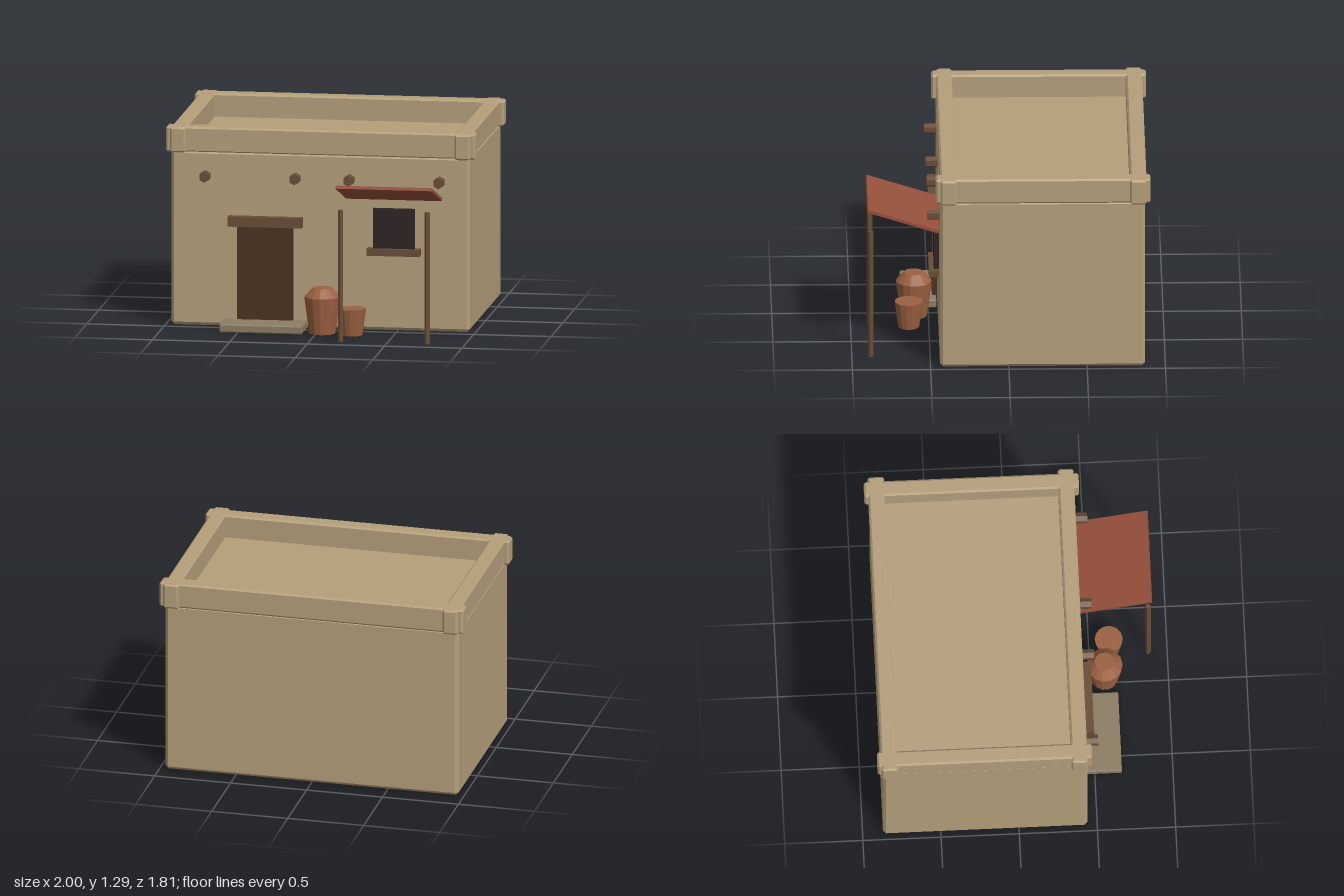
import * as THREE from 'three';
import { ConvexGeometry } from 'three/addons/geometries/ConvexGeometry.js';

const material = (name, color, flatShading = true) => {
  const m = new THREE.MeshStandardMaterial({ color, flatShading });
  m.name = name;
  return m;
};

// Box given by its limits, with flat chamfers along every edge
function chamferBox([x0, x1], [y0, y1], [z0, z1], c) {
  const half = [(x1 - x0) / 2, (y1 - y0) / 2, (z1 - z0) / 2];
  const points = [];
  for (const sx of [-1, 1]) for (const sy of [-1, 1]) for (const sz of [-1, 1]) {
    for (let axis = 0; axis < 3; axis++) {
      const p = half.map((h, i) => (i === axis ? h : h - c));
      points.push(new THREE.Vector3(p[0] * sx, p[1] * sy, p[2] * sz));
    }
  }
  return new ConvexGeometry(points).translate((x0 + x1) / 2, (y0 + y1) / 2, (z0 + z1) / 2);
}

// Plain box given by its limits
function box([x0, x1], [y0, y1], [z0, z1]) {
  return new THREE.BoxGeometry(x1 - x0, y1 - y0, z1 - z0)
    .translate((x0 + x1) / 2, (y0 + y1) / 2, (z0 + z1) / 2);
}

export function createModel() {
  const model = new THREE.Group();
  model.name = 'adobeHouse';

  const adobe = material('adobe', 0xb59f7a);
  const wood = material('wood', 0x694d37);
  const doorWood = material('doorWood', 0x4a3322);
  const darkGlass = material('darkOpening', 0x2d2324);
  const cloth = material('awningCloth', 0x97503b);
  const clay = material('clay', 0x9b6040);
  const stone = material('stone', 0x8c7c64);

  const add = (name, geometry, mat) => {
    const mesh = new THREE.Mesh(geometry, mat);
    mesh.name = name;
    model.add(mesh);
    return mesh;
  };

  // Main block, its top is the sunken roof
  add('walls', chamferBox([-0.965, 0.965], [0, 1.135], [-0.87, 0.44], 0.02), adobe);

  // Parapet: four bars that cross and stick out at the corners
  const top = [1.12, 1.286];
  add('frontParapet', chamferBox([-1, 1], top, [0.335, 0.438], 0.012), adobe);
  add('backParapet', chamferBox([-1, 1], top, [-0.88, -0.775], 0.012), adobe);
  add('rightParapet', chamferBox([-0.97, -0.868], top, [-0.905, 0.468], 0.012), adobe);
  add('leftParapet', chamferBox([0.868, 0.97], top, [-0.905, 0.468], 0.012), adobe);

  // Roof beam ends
  for (const x of [-0.74, -0.158, 0.19, 0.772]) {
    const beam = new THREE.CylinderGeometry(0.035, 0.035, 0.135, 6).rotateX(Math.PI / 2);
    add('roofBeam', beam, wood).position.set(x, 0.974, 0.448);
  }

  // Door, lintel and step
  add('door', box([-0.532, -0.174], [0.01, 0.66], [0.42, 0.474]), doorWood);
  add('doorLintel', box([-0.59, -0.112], [0.656, 0.72], [0.42, 0.498]), wood);
  add('doorStep', chamferBox([-0.618, -0.083], [0, 0.053], [0.447, 0.674], 0.007), stone);

  // Window and sill
  add('window', box([0.345, 0.612], [0.52, 0.794], [0.42, 0.474]), darkGlass);
  add('windowSill', box([0.308, 0.65], [0.493, 0.537], [0.42, 0.506]), wood);

  // Sloping awning on two posts
  const awning = add('awning', new THREE.BoxGeometry(0.62, 0.02, 0.48), cloth);
  awning.position.set(0.478, 0.932, 0.672);
  awning.rotation.x = -0.31;
  for (const x of [0.198, 0.757]) {
    add('awningPost', new THREE.CylinderGeometry(0.018, 0.018, 0.853, 6), wood)
      .position.set(x, 0.4265, 0.878);
  }

  // Clay pots: tapered bodies, the large one with a shoulder
  const pot = (name, r1, r0, y0, h, x, z) =>
    add(name, new THREE.CylinderGeometry(r1, r0, h, 14), clay).position.set(x, y0 + h / 2, z);
  pot('largePot', 0.115, 0.085, 0, 0.237, 0.036, 0.593);
  pot('largePotShoulder', 0.063, 0.115, 0.237, 0.057, 0.036, 0.593);
  pot('smallPot', 0.09, 0.068, 0, 0.172, 0.233, 0.628);

  return model;
}
